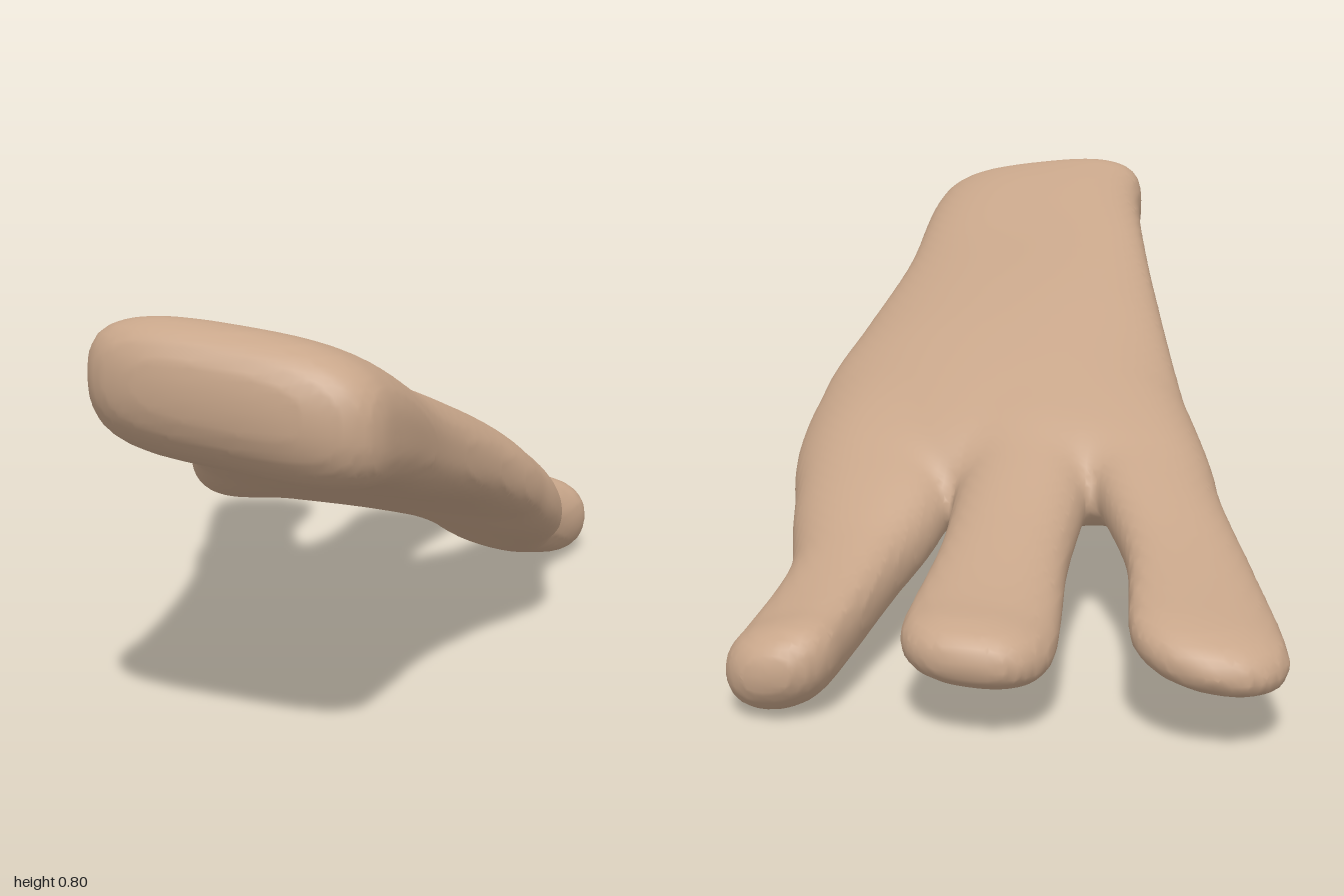
import * as THREE from 'three';

// Rows run from front to back:
// z, left x, right x, middle height at left, centre and right, half thickness, squareness of the section.
// front, back: length of the rounded ends; tip: squareness of the ends
const palm = {
  front: 0.13, back: 0.14, tip: 2.4,
  rows: [
    [1.0, 0.0, 0.533, 0.71, 0.675, 0.63, 0.127, 3.5],
    [0.8, -0.02, 0.533, 0.655, 0.64, 0.6, 0.125, 3.2],
    [0.5, -0.09, 0.515, 0.585, 0.552, 0.515, 0.12, 2.9],
    [0.2, -0.18, 0.536, 0.48, 0.475, 0.42, 0.117, 2.7],
    [0.0, -0.25, 0.56, 0.385, 0.41, 0.342, 0.121, 2.6],
    [-0.2, -0.322, 0.543, 0.3, 0.34, 0.255, 0.117, 2.5],
    [-0.4, -0.36, 0.45, 0.25, 0.265, 0.2, 0.097, 2.4],
  ],
};
const outerFinger = {
  front: 0.18, back: 0.13, tip: 2.2,
  rows: [
    [0.05, -0.2, 0.04, 0.39, 0.405, 0.41, 0.09, 2.4],
    [-0.2, -0.324, -0.03, 0.302, 0.325, 0.34, 0.1, 2.4],
    [-0.4, -0.402, -0.14, 0.238, 0.265, 0.288, 0.084, 2.4],
    [-0.6, -0.482, -0.234, 0.192, 0.21, 0.232, 0.073, 2.4],
    [-0.85, -0.568, -0.285, 0.152, 0.17, 0.195, 0.062, 2.4],
    [-0.975, -0.575, -0.315, 0.145, 0.16, 0.18, 0.06, 2.3],
  ],
};
const middleFinger = {
  front: 0.18, back: 0.12, tip: 2.3,
  rows: [
    [0.05, -0.1, 0.18, 0.405, 0.405, 0.395, 0.09, 2.3],
    [-0.25, -0.112, 0.17, 0.33, 0.332, 0.315, 0.102, 2.3],
    [-0.4, -0.12, 0.15, 0.27, 0.27, 0.255, 0.096, 2.3],
    [-0.6, -0.125, 0.127, 0.208, 0.21, 0.21, 0.079, 2.3],
    [-0.85, -0.157, 0.123, 0.15, 0.158, 0.167, 0.068, 2.3],
    [-1.003, -0.155, 0.1, 0.148, 0.157, 0.163, 0.064, 2.5],
  ],
};
const innerFinger = {
  front: 0.18, back: 0.11, tip: 2.2,
  rows: [
    [0.05, 0.21, 0.545, 0.395, 0.38, 0.345, 0.09, 2.3],
    [-0.2, 0.185, 0.544, 0.31, 0.298, 0.257, 0.113, 2.3],
    [-0.4, 0.165, 0.496, 0.235, 0.213, 0.187, 0.108, 2.3],
    [-0.58, 0.21, 0.443, 0.165, 0.145, 0.125, 0.091, 2.3],
    [-0.84, 0.234, 0.45, 0.125, 0.088, 0.075, 0.087, 2.3],
    [-0.983, 0.238, 0.445, 0.12, 0.098, 0.085, 0.082, 2.3],
  ],
};

// Smooth interpolation of the key rows
function sampleRow(rows, z) {
  const last = rows.length - 1;
  let i = 0;
  while (i < last - 1 && z < rows[i + 1][0]) i++;
  const a = rows[i], b = rows[i + 1], span = b[0] - a[0];
  const t = THREE.MathUtils.clamp((z - a[0]) / span, 0, 1), t2 = t * t, t3 = t2 * t;
  const slope = (k, c) => {
    const p = rows[Math.max(k - 1, 0)], n = rows[Math.min(k + 1, last)];
    return (n[c] - p[c]) / (n[0] - p[0]);
  };
  return a.map((v, c) => v * (2 * t3 - 3 * t2 + 1) + b[c] * (3 * t2 - 2 * t3) +
    span * (slope(i, c) * (t3 - 2 * t2 + t) + slope(i + 1, c) * (t3 - t2)));
}

// Signed field of one part in the slice at z: negative inside
function sliceField(part, z) {
  const { rows, front, back, tip } = part;
  const [, xl, xr, yl, yc, yr, h, power] = sampleRow(rows, z);
  const cx = (xl + xr) / 2, w = (xr - xl) / 2;
  const end = Math.max(0, 1 - (rows[0][0] - z) / front, 1 - (z - rows[rows.length - 1][0]) / back);
  return (x, y) => {
    const u = (x - cx) / w, b = THREE.MathUtils.clamp(u, -1.1, 1.1);
    const v = (y - yc - (yr - yl) / 2 * b - ((yl + yr) / 2 - yc) * b * b) / h;
    const roll = (Math.abs(v) ** tip + end ** tip) ** (1 / tip);
    return ((Math.abs(u) ** power + roll ** power) ** (1 / power) - 1) * h;
  };
}

// Union with a soft blend in the webs between the fingers
function blend(a, b) {
  const k = 0.02, m = Math.max(k - Math.abs(a - b), 0) / k;
  return Math.min(a, b) - m * m * k / 4;
}

// One continuous skin around all the parts, from a grid of field values
function skinGeometry(parts, step, min, max) {
  const size = min.map((v, a) => Math.ceil((max[a] - v) / step) + 1);
  const stride = [1, size[0], size[0] * size[1]];
  const field = new Float32Array(stride[2] * size[2]);
  for (let k = 0, n = 0; k < size[2]; k++) {
    const slices = parts.map((p) => sliceField(p, min[2] + k * step));
    for (let j = 0; j < size[1]; j++) {
      for (let i = 0; i < size[0]; i++) {
        field[n++] = slices.map((f) => f(min[0] + i * step, min[1] + j * step)).reduce(blend);
      }
    }
  }
  const corner = (c) => (c & 1) * stride[0] + (c >> 1 & 1) * stride[1] + (c >> 2) * stride[2];
  const vertexOf = new Int32Array(field.length), pos = [], index = [];
  const eachCell = (visit) => {
    for (let k = 1; k < size[2] - 1; k++)
      for (let j = 1; j < size[1] - 1; j++)
        for (let i = 1; i < size[0] - 1; i++) visit([i, j, k], i + j * stride[1] + k * stride[2]);
  };
  // A vertex at the mean of the crossings on the edges of each cell
  eachCell((cell, n) => {
    const sum = [0, 0, 0];
    let count = 0;
    for (let a = 0; a < 3; a++) {
      for (let c = 0; c < 8; c++) {
        if (c >> a & 1) continue;
        const f0 = field[n + corner(c)], f1 = field[n + corner(c | 1 << a)];
        if (f0 < 0 === f1 < 0) continue;
        for (let d = 0; d < 3; d++) sum[d] += d === a ? f0 / (f0 - f1) : c >> d & 1;
        count++;
      }
    }
    if (!count) return;
    vertexOf[n] = pos.length / 3;
    pos.push(...sum.map((s, d) => min[d] + (cell[d] + s / count) * step));
  });
  // A quad around each crossed edge
  eachCell((cell, n) => {
    for (let a = 0; a < 3; a++) {
      const inside = field[n] < 0;
      if (inside === field[n + stride[a]] < 0) continue;
      const sb = stride[(a + 1) % 3], sc = stride[(a + 2) % 3];
      const [p, q, r, s] = [n, n - sb, n - sb - sc, n - sc].map((m) => vertexOf[m]);
      index.push(...(inside ? [p, q, r, p, r, s] : [p, r, q, p, s, r]));
    }
  });
  const geo = new THREE.BufferGeometry();
  geo.setAttribute('position', new THREE.Float32BufferAttribute(pos, 3));
  geo.setIndex(index);
  geo.computeVertexNormals();
  return geo;
}

export function createModel() {
  const skin = new THREE.MeshStandardMaterial({ color: 0xc8a68a });
  skin.name = 'skin';
  const hand = new THREE.Group();
  hand.name = 'hand';

  // Palm, wrist and three fingers
  const parts = [palm, outerFinger, middleFinger, innerFinger];
  const mesh = new THREE.Mesh(skinGeometry(parts, 0.016, [-0.65, -0.07, -1.07], [0.65, 0.88, 1.07]), skin);
  mesh.name = 'palmAndFingers';
  hand.add(mesh);
  return hand;
}
